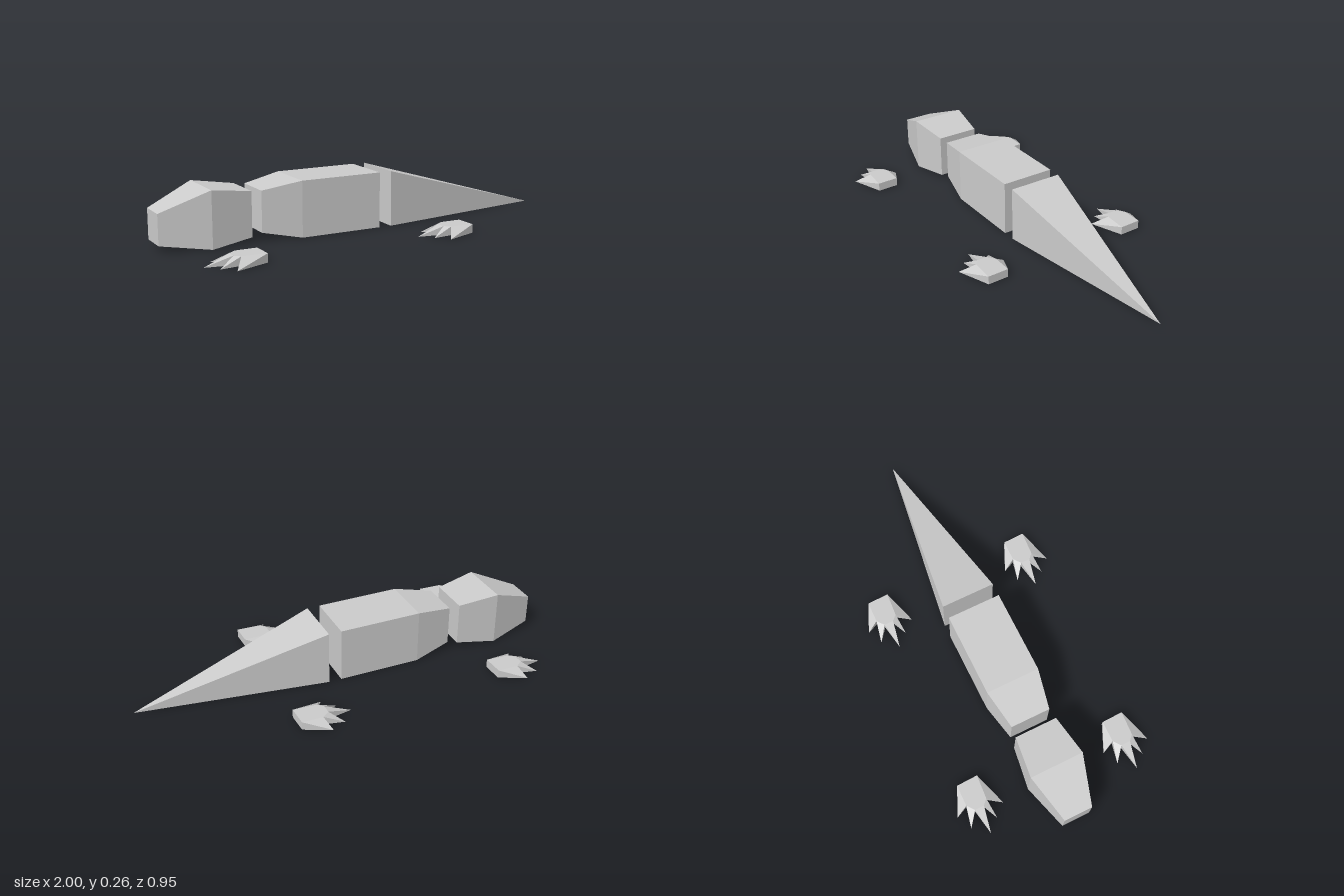
import * as THREE from 'three';

const material = new THREE.MeshStandardMaterial({ color: 0xcccccc, flatShading: true });

function makeMesh(name, points) {
  const geometry = new THREE.BufferGeometry();
  geometry.setAttribute('position', new THREE.Float32BufferAttribute(points.flat(), 3));
  geometry.computeVertexNormals();
  const mesh = new THREE.Mesh(geometry, material);
  mesh.name = name;
  return mesh;
}

const quad = (a, b, c, d) => [a, b, c, a, c, d];

// Faceted block through rectangular sections [x, yLow, yHigh, zBack, zFront]
function loft(name, sections) {
  const rings = sections.map(([x, y0, y1, z0, z1]) => [[x, y0, z0], [x, y0, z1], [x, y1, z1], [x, y1, z0]]);
  const points = [];
  for (let i = 0; i < rings.length - 1; i++) {
    const a = rings[i], b = rings[i + 1];
    for (let k = 0; k < 4; k++) {
      const n = (k + 1) % 4;
      points.push(...quad(a[k], b[k], b[n], a[n]));
    }
  }
  const [s0, s1, s2, s3] = rings[0];
  const [e0, e1, e2, e3] = rings[rings.length - 1];
  points.push(...quad(s0, s1, s2, s3), ...quad(e3, e2, e1, e0));
  return makeMesh(name, points);
}

// Foot outline [x, z]: heel corner, gaps between toes, other heel corner
const palm = [[0.36, -0.05], [0.26, -0.052], [0.225, -0.025], [0.225, 0.02], [0.25, 0.044], [0.363, 0.052]];
const tips = [[0.235, -0.108], [0.163, -0.074], [0.105, -0.003], [0.155, 0.053], [0.205, 0.109]];

function makeFoot(name) {
  const top = palm.map(([x, z]) => [x, 0.04, z]);
  const low = palm.map(([x, z]) => [x, 0, z]);
  const points = [];
  // Flat palm, top and underside
  for (let i = 1; i < palm.length - 1; i++) {
    points.push(top[0], top[i], top[i + 1], low[0], low[i + 1], low[i]);
  }
  // Toes sloping down to points on the floor
  tips.forEach(([x, z], i) => {
    const tip = [x, 0, z];
    points.push(top[i], tip, top[i + 1], low[i], low[i + 1], tip);
    points.push(low[i], tip, top[i], tip, low[i + 1], top[i + 1]);
  });
  // Upright heel
  points.push(...quad(low[5], low[0], top[0], top[5]));
  return makeMesh(name, points);
}

export function createModel() {
  const model = new THREE.Group();
  model.name = 'lizard';

  model.add(
    loft('head', [
      [-1, 0.03, 0.17, -0.073, 0.063],
      [-0.78, 0, 0.26, -0.132, 0.124],
      [-0.585, 0.025, 0.232, -0.106, 0.096],
    ]),
    loft('body', [
      [-0.535, 0.037, 0.227, -0.1, 0.089],
      [-0.353, 0, 0.26, -0.132, 0.124],
      [0.045, 0, 0.26, -0.132, 0.124],
    ]),
    loft('tail', [
      [0.106, 0, 0.26, -0.132, 0.124],
      [1, 0, 0, -0.003, -0.003],
    ]),
  );

  // Four feet, toes towards the head
  for (const [name, x, z] of [
    ['frontFootNear', -1.02, 0.367],
    ['frontFootFar', -0.99, -0.37],
    ['rearFootNear', 0, 0.367],
    ['rearFootFar', 0, -0.37],
  ]) {
    const foot = makeFoot(name);
    foot.position.set(x, 0, z);
    model.add(foot);
  }
  return model;
}
